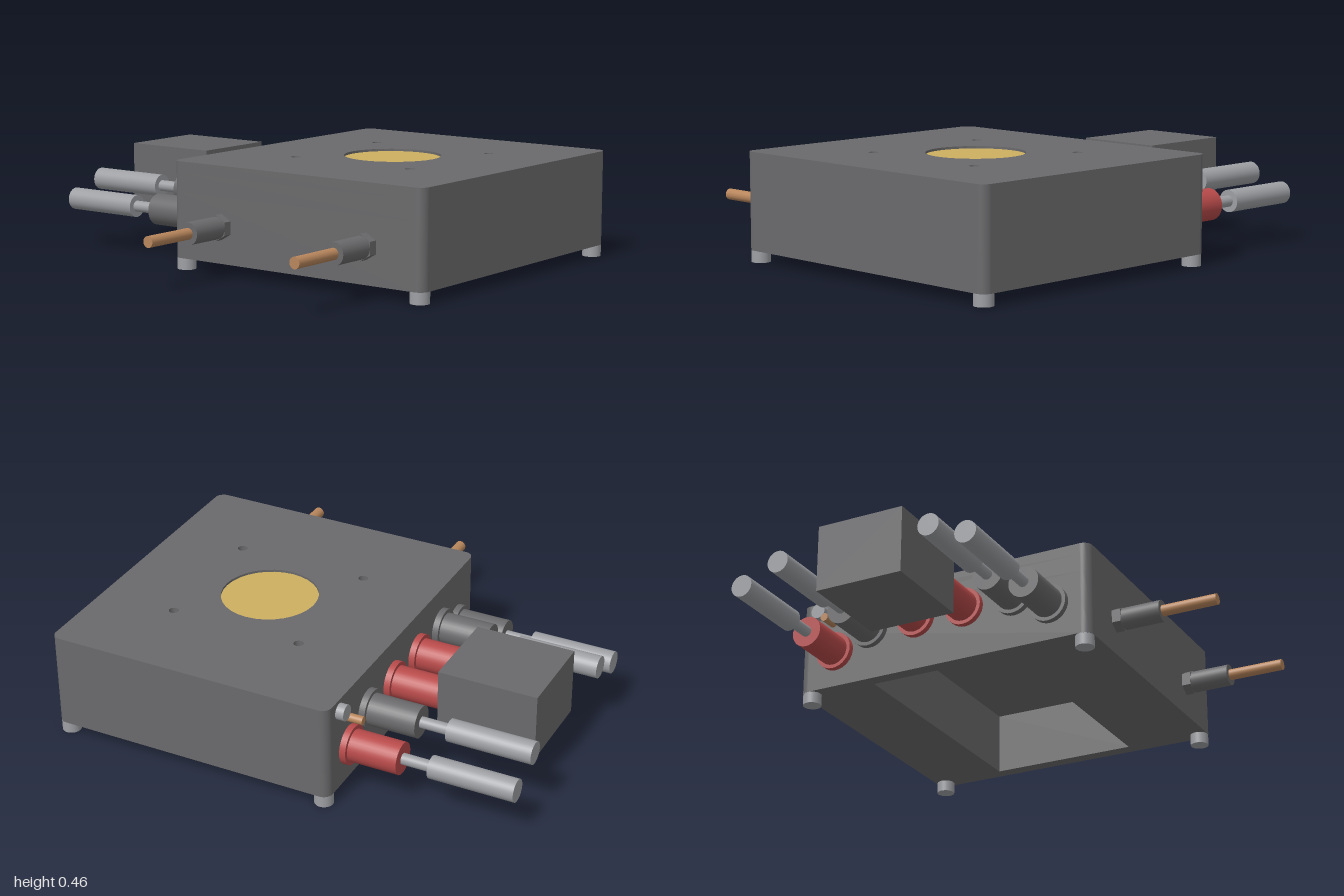
import * as THREE from 'three';

const mat = (name, color) => {
  const m = new THREE.MeshStandardMaterial({ color });
  m.name = name;
  return m;
};

export function createModel() {
  const grey = mat('dark grey', 0x6a6a6c);
  const silver = mat('silver', 0x9d9fa3);
  const red = mat('red', 0xb84a4a);
  const copper = mat('copper', 0xb8865c);
  const gold = mat('gold', 0xcdaf60);

  const model = new THREE.Group();
  model.name = 'junctionBox';

  const add = (parent, name, geometry, material, x = 0, y = 0, z = 0) => {
    const mesh = new THREE.Mesh(geometry, material);
    mesh.name = name;
    mesh.position.set(x, y, z);
    parent.add(mesh);
    return mesh;
  };

  // Cylinder running from a to b along the given axis, centred on (p, q) of the other two
  const rod = (parent, name, material, axis, a, b, r, p, q, sides = 32) => {
    const g = new THREE.CylinderGeometry(r, r, b - a, sides);
    const mid = (a + b) / 2;
    if (axis === 'x') return add(parent, name, g.rotateZ(Math.PI / 2), material, mid, p, q);
    if (axis === 'z') return add(parent, name, g.rotateX(Math.PI / 2), material, p, q, mid);
    return add(parent, name, g, material, p, mid, q);
  };

  // Body footprint, drawn in x and -z, with rounded corners
  const X0 = -0.27, X1 = 1, Z0 = -0.925, Z1 = 0.468, R = 0.04;
  const footprint = () => {
    const s = new THREE.Shape();
    s.absarc(X1 - R, -Z0 - R, R, 0, Math.PI / 2);
    s.absarc(X0 + R, -Z0 - R, R, Math.PI / 2, Math.PI);
    s.absarc(X0 + R, -Z1 + R, R, Math.PI, Math.PI * 1.5);
    s.absarc(X1 - R, -Z1 + R, R, Math.PI * 1.5, Math.PI * 2);
    s.closePath();
    return s;
  };
  const layer = (name, shape, y0, y1) => {
    const g = new THREE.ExtrudeGeometry(shape, { depth: y1 - y0, bevelEnabled: false, curveSegments: 16 });
    return add(model, name, g.rotateX(-Math.PI / 2), grey, 0, y0, 0);
  };

  // Lower walls around the pocket that opens underneath
  const walls = footprint();
  walls.holes.push(new THREE.Path([
    new THREE.Vector2(-0.21, -0.085), new THREE.Vector2(-0.21, 0.585),
    new THREE.Vector2(0.94, 0.585), new THREE.Vector2(0.94, -0.085),
  ]));
  layer('lowerWalls', walls, 0.05, 0.33);
  layer('pocketCeiling', footprint(), 0.33, 0.41);

  // Top plate with the disc well and four screw holes
  const top = footprint();
  const hole = (x, z, r) => top.holes.push(new THREE.Path().absarc(x, -z, r, 0, Math.PI * 2, true));
  hole(0.361, -0.229, 0.207);
  for (const x of [0.068, 0.656]) for (const z of [-0.523, 0.065]) hole(x, z, 0.021);
  layer('topPlate', top, 0.41, 0.46);
  rod(model, 'goldDisc', gold, 'y', 0.405, 0.45, 0.207, 0.361, -0.229, 64);

  // Corner feet
  for (const x of [-0.23, 0.96])
    for (const z of [-0.884, 0.427]) rod(model, 'foot', silver, 'y', 0, 0.055, 0.04, x, z);

  // Sockets and plugs on the side: z, height, colour, whether a pin is plugged in
  const plugs = [
    [-0.745, 0.208, red, true], [-0.575, 0.279, grey, true],
    [-0.345, 0.279, red, false], [-0.11, 0.279, red, false],
    [0.122, 0.279, grey, true], [0.288, 0.208, grey, true],
  ];
  for (const [z, y, material, hasPin] of plugs) {
    const plug = new THREE.Group();
    plug.name = 'sidePlug';
    model.add(plug);
    rod(plug, 'flange', material, 'x', -0.297, -0.26, 0.084, y, z);
    rod(plug, 'sleeve', material, 'x', -0.51, -0.29, 0.068, y, z);
    if (!hasPin) continue;
    rod(plug, 'pin', silver, 'x', -0.64, -0.5, 0.024, y, z);
    rod(plug, 'pinHandle', silver, 'x', -1, -0.635, 0.048, y, z);
  }

  // Block joining the two middle plugs
  add(model, 'connectorBlock', new THREE.BoxGeometry(0.43, 0.29, 0.39), grey, -0.725, 0.283, -0.228);

  // Small stud and copper pin at the rear of the side
  rod(model, 'stud', silver, 'x', -0.305, -0.26, 0.034, 0.41, -0.825);
  rod(model, 'copperPin', copper, 'x', -0.347, -0.26, 0.018, 0.35, -0.765);

  // Front fittings: hexagonal nut, sleeve and copper pipe
  for (const x of [-0.005, 0.73]) {
    const fitting = new THREE.Group();
    fitting.name = 'frontFitting';
    model.add(fitting);
    const nut = rod(fitting, 'hexNut', grey, 'z', 0.45, 0.507, 0.055, x, 0.206, 6);
    nut.geometry = nut.geometry.toNonIndexed();
    nut.geometry.computeVertexNormals();
    rod(fitting, 'sleeve', grey, 'z', 0.5, 0.68, 0.047, x, 0.206);
    rod(fitting, 'copperPipe', copper, 'z', 0.67, 0.925, 0.024, x, 0.206);
  }

  return model;
}
